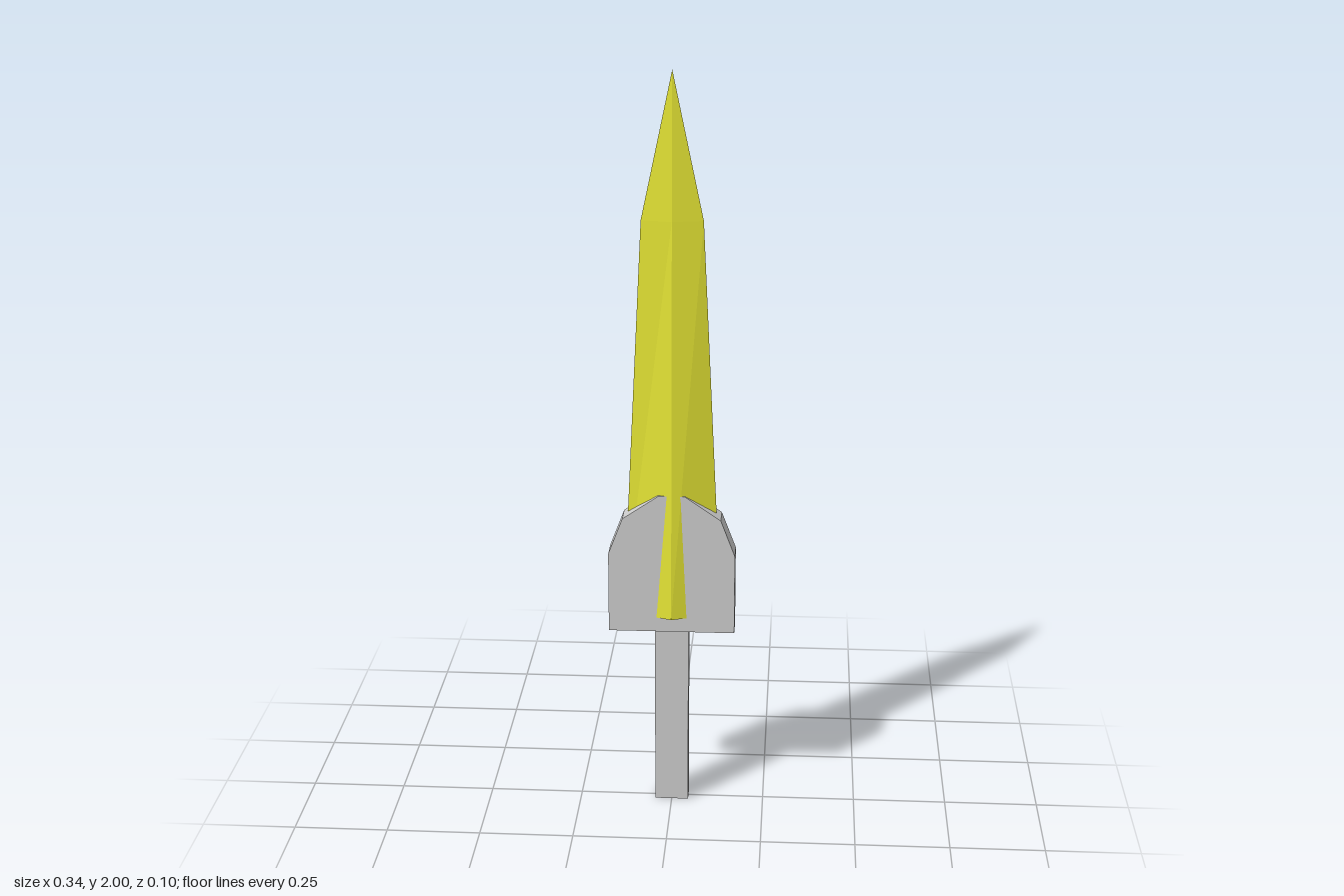
import * as THREE from 'three';

// Faceted blade: diamond rings joined upward, ending in a single point
function bladeGeometry(rings, tipY) {
  const corner = ([y, w, d], i) => [
    [0, y, d], [w, y, 0], [0, y, -d], [-w, y, 0],
  ][i % 4];
  const pos = [];
  const tri = (...pts) => pts.forEach((p) => pos.push(...p));
  const last = rings[rings.length - 1];
  for (let i = 0; i < 4; i++) {
    for (let r = 0; r < rings.length - 1; r++) {
      const a = corner(rings[r], i), b = corner(rings[r], i + 1);
      const c = corner(rings[r + 1], i + 1), d = corner(rings[r + 1], i);
      tri(a, b, c);
      tri(a, c, d);
    }
    tri(corner(last, i), corner(last, i + 1), [0, tipY, 0]);
    tri(corner(rings[0], i + 1), corner(rings[0], i), [0, rings[0][0], 0]);
  }
  const geo = new THREE.BufferGeometry();
  geo.setAttribute('position', new THREE.Float32BufferAttribute(pos, 3));
  geo.computeVertexNormals();
  return geo;
}

export function createModel() {
  const model = new THREE.Group();
  const grey = new THREE.MeshStandardMaterial({ color: 0xcccccc, flatShading: true });
  const yellow = new THREE.MeshStandardMaterial({ color: 0xe5e535, flatShading: true });
  const add = (name, geometry, material) => {
    const mesh = new THREE.Mesh(geometry, material);
    mesh.name = name;
    model.add(mesh);
    return mesh;
  };

  // Handle: plain rectangular bar
  add('handle', new THREE.BoxGeometry(0.09, 0.52, 0.048), grey).position.y = 0.26;

  // Guard: flat plate with mirrored, chamfered shoulders
  const half = [[0.168, 0.505], [0.168, 0.725], [0.13, 0.825], [0.035, 0.89]];
  const outline = [...half, ...half.map(([x, y]) => [-x, y]).reverse()];
  const shape = new THREE.Shape(outline.map(([x, y]) => new THREE.Vector2(x, y)));
  const guard = new THREE.ExtrudeGeometry(shape, { depth: 0.068, bevelEnabled: false });
  guard.translate(0, 0, -0.034);
  add('guard', guard, grey);

  // Blade: runs down through the guard, its ridges showing on both faces
  add('blade', bladeGeometry([[0.545, 0.131, 0.049], [1.62, 0.08, 0.017]], 2), yellow);

  return model;
}
